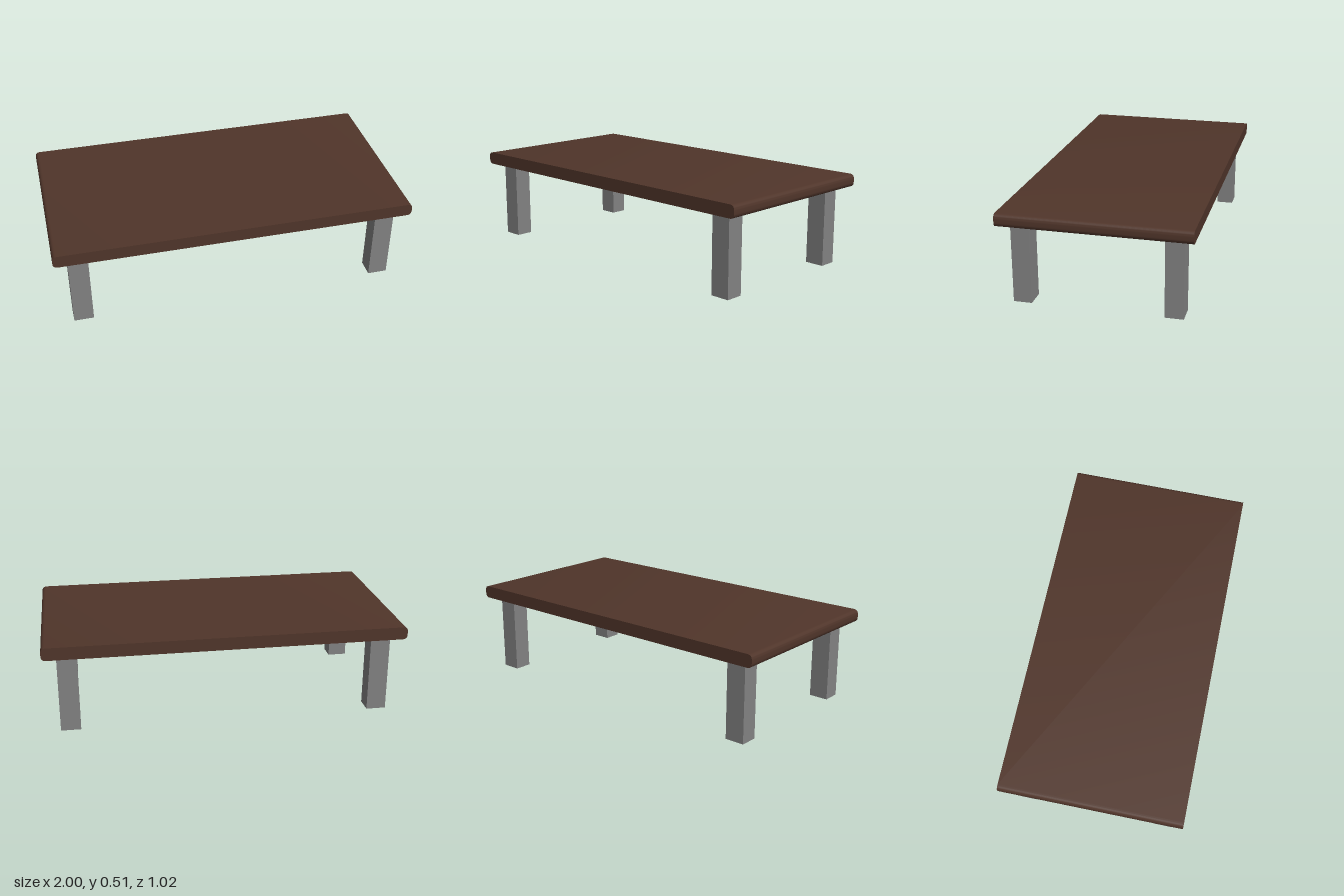
import * as THREE from 'three';
import { toCreasedNormals } from 'three/addons/utils/BufferGeometryUtils.js';

const wood = new THREE.MeshStandardMaterial({ color: 0x50352a });
wood.name = 'dark brown wood';
const metal = new THREE.MeshStandardMaterial({ color: 0x828282 });
metal.name = 'grey metal';

// Slab with rounded short ends: rounded profile in x/y, extruded along z
function slabGeometry(halfX, bottom, top, depth, r) {
  const s = new THREE.Shape();
  s.moveTo(-halfX + r, bottom);
  s.lineTo(halfX - r, bottom);
  s.quadraticCurveTo(halfX, bottom, halfX, bottom + r);
  s.lineTo(halfX, top - r);
  s.quadraticCurveTo(halfX, top, halfX - r, top);
  s.lineTo(-halfX + r, top);
  s.quadraticCurveTo(-halfX, top, -halfX, top - r);
  s.lineTo(-halfX, bottom + r);
  s.quadraticCurveTo(-halfX, bottom, -halfX + r, bottom);
  const g = new THREE.ExtrudeGeometry(s, { depth, bevelEnabled: false, curveSegments: 8 });
  g.translate(0, 0, -depth / 2);
  return toCreasedNormals(g, Math.PI / 6);
}

export function createModel() {
  const table = new THREE.Group();
  table.name = 'lowTable';

  const top = new THREE.Mesh(slabGeometry(1, 0.442, 0.513, 1.022, 0.028), wood);
  top.name = 'tableTop';
  table.add(top);

  // Four square legs, set in from the corners
  const legHeight = 0.442;
  const legGeometry = new THREE.BoxGeometry(0.11, legHeight, 0.1);
  for (const [side, x] of [['Left', 0.867], ['Right', -0.867]]) {
    for (const [end, z] of [['front', 0.404], ['back', -0.404]]) {
      const leg = new THREE.Mesh(legGeometry, metal);
      leg.name = `${end}${side}Leg`;
      leg.position.set(x, legHeight / 2, z);
      table.add(leg);
    }
  }
  return table;
}
